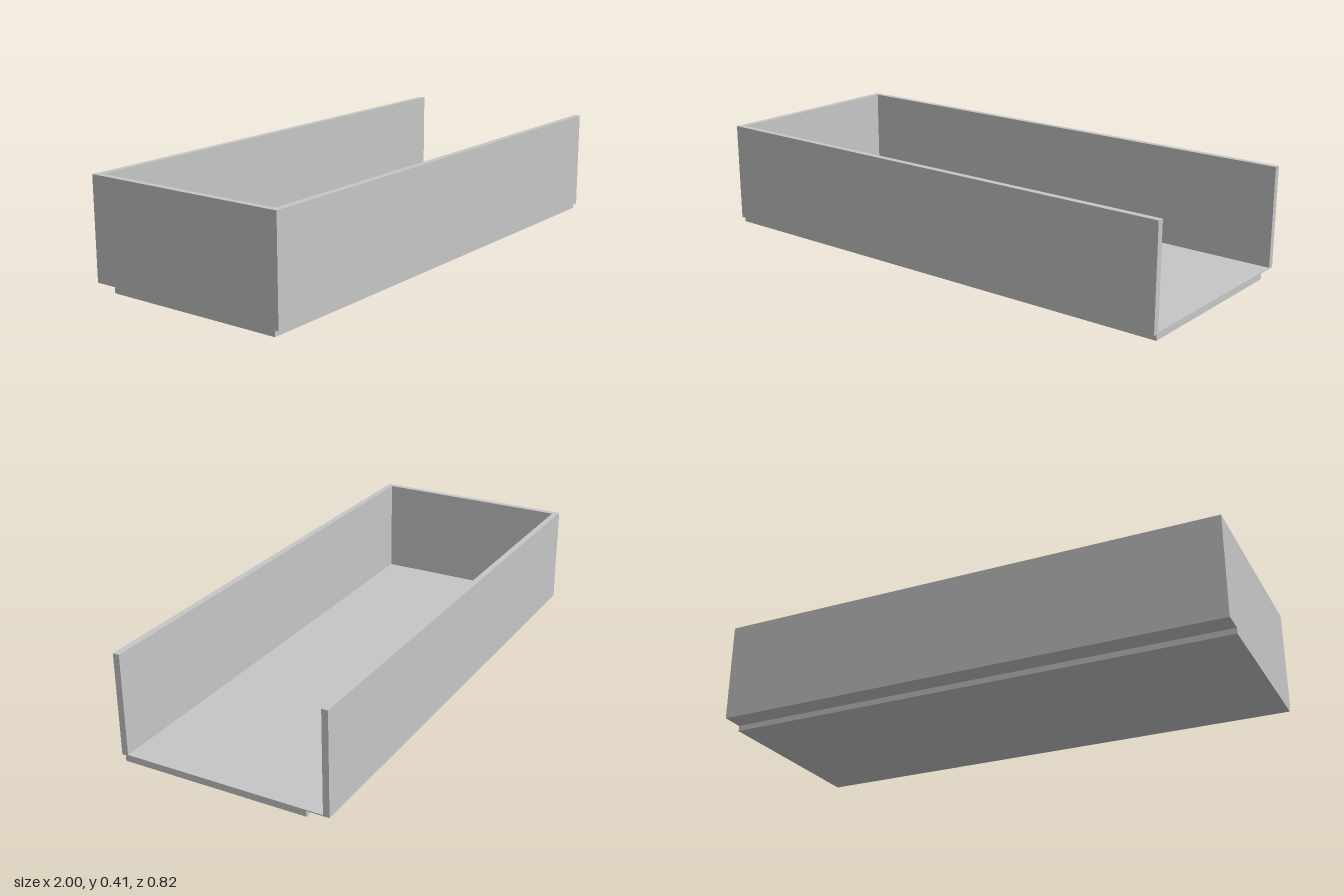
import * as THREE from 'three';

export function createModel() {
  const model = new THREE.Group();
  const grey = new THREE.MeshStandardMaterial({ color: 0xc6c6c6 });
  grey.name = 'light grey';

  // Extrudes a [z, y] outline along x
  function addProfile(name, points, x0, x1) {
    const shape = new THREE.Shape(points.map(([z, y]) => new THREE.Vector2(-z, y)));
    const geometry = new THREE.ExtrudeGeometry(shape, { depth: x1 - x0, bevelEnabled: false });
    geometry.rotateY(Math.PI / 2).translate(x0, 0, 0);
    const mesh = new THREE.Mesh(geometry, grey);
    mesh.name = name;
    model.add(mesh);
  }

  const top = 0.411, under = 0.022, floor = 0.026;
  const front = 0.413, back = -0.412, innerFront = 0.388, innerBack = -0.388;

  // Trough: two long walls, thin floor and the base strip beneath it
  addProfile('trough', [
    [front, top], [front, under], [0.398, under], [0.398, 0],
    [-0.326, 0], [-0.326, under], [back, under], [back, top],
    [innerBack, top], [innerBack, floor], [innerFront, floor], [innerFront, top],
  ], -1, 1);

  // Closed end on the right; the left end stays open
  addProfile('endWall', [
    [innerFront, top], [innerFront, floor], [innerBack, floor], [innerBack, top],
  ], -1, -0.976);

  return model;
}
